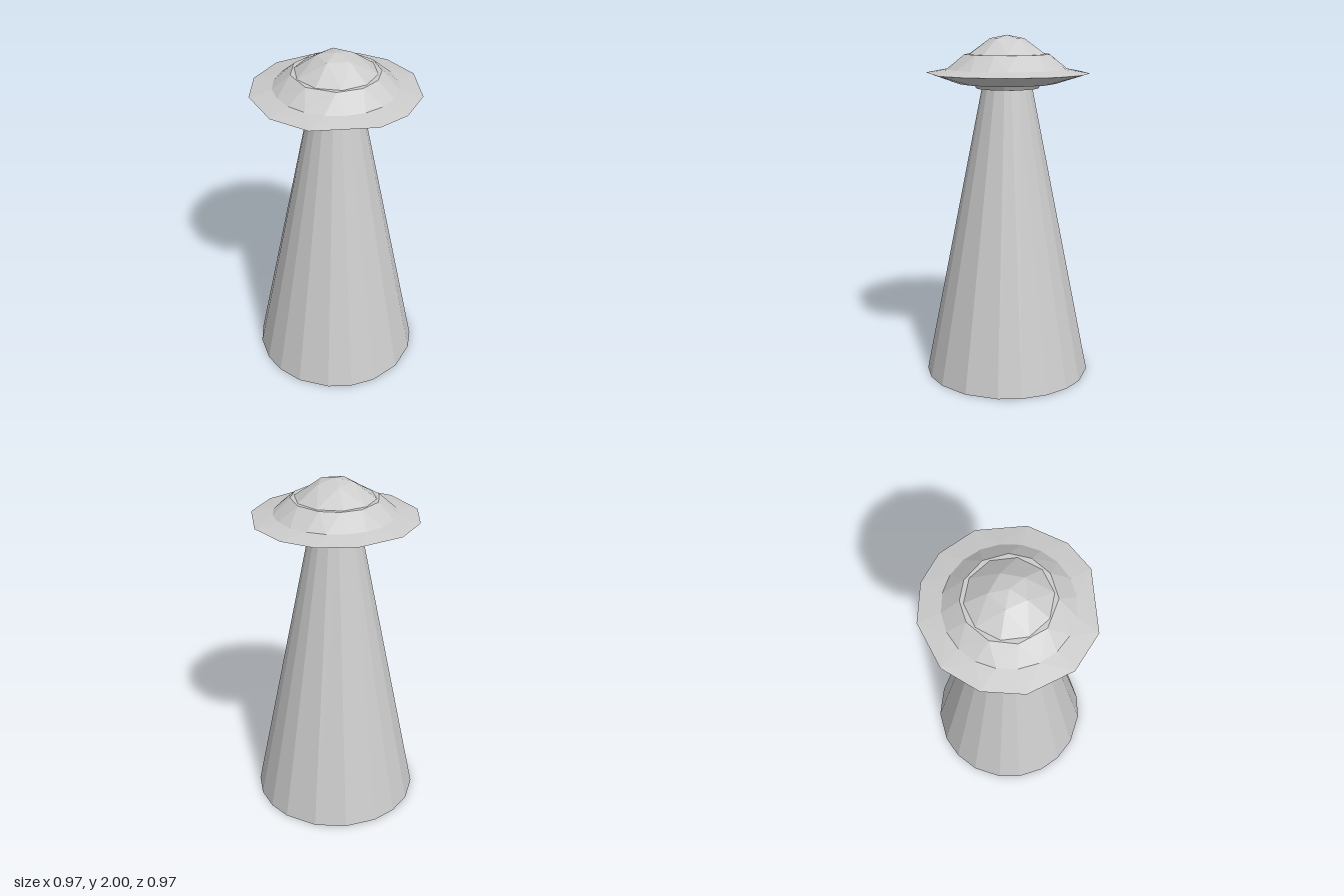
import * as THREE from 'three';

// Evenly spaced angles in degrees, measured from +x towards +z
const even = (n, start = 0) => Array.from({ length: n }, (_, i) => start + (i * 360) / n);

// Skin between rings [radius, height, angles]; neighbouring rings may have different corner counts
function skin(name, rings) {
  const pos = [];
  const point = ([r, y, angles], i) => {
    const a = THREE.MathUtils.degToRad(angles[i % angles.length]);
    return [r * Math.cos(a), y, r * Math.sin(a)];
  };
  const angleAt = (angles, i) => angles[i % angles.length] + 360 * Math.floor(i / angles.length);
  for (let k = 0; k < rings.length - 1; k++) {
    const a = rings[k], b = rings[k + 1];
    const na = a[0] > 0 ? a[2].length : 0;
    const nb = b[0] > 0 ? b[2].length : 0;
    let i = 0, j = 0;
    while (i < na || j < nb) {
      const midA = angleAt(a[2], i) + angleAt(a[2], i + 1);
      const midB = angleAt(b[2], j) + angleAt(b[2], j + 1);
      if (j >= nb || (i < na && midA <= midB)) {
        pos.push(...point(a, i), ...point(b, j), ...point(a, i + 1));
        i++;
      } else {
        pos.push(...point(a, i), ...point(b, j), ...point(b, j + 1));
        j++;
      }
    }
  }
  const geometry = new THREE.BufferGeometry();
  geometry.setAttribute('position', new THREE.Float32BufferAttribute(pos, 3));
  geometry.computeVertexNormals();
  const material = new THREE.MeshStandardMaterial({
    color: 0xcccccc, flatShading: true, side: THREE.DoubleSide,
  });
  const mesh = new THREE.Mesh(geometry, material);
  mesh.name = name;
  return mesh;
}

export function createModel() {
  const model = new THREE.Group();
  model.name = 'flyingSaucerWithBeam';

  // Irregular corner spacing of the beam, the rim and the upper hull edge
  const beamSides = [10, 27, 45, 61, 84, 106, 123, 140, 162, 180, 196, 215, 231, 252, 270, 287, 309, 331, 354];
  const rimSides = [21, 55, 83.5, 106.5, 151, 180, 213, 241, 269, 302.5, 330, 353];
  const shoulderSides = [10, 43, 71, 100, 134, 174, 213, 247, 282, 310, 337];
  const hatchSides = even(10, 18);

  // Light beam, open at the bottom
  model.add(skin('beam', [[0.486, 0, beamSides], [0.146, 1.7, beamSides]]));

  // Emitter under the hull
  model.add(skin('emitter', [
    [0, 1.7, [0]],
    [0.18, 1.7, even(12)],
    [0.2, 1.732, even(12)],
    [0.24, 1.765, even(12)],
  ]));

  // Hull: open underside, sharp rim, shoulder and narrow shelf around the dome
  model.add(skin('hull', [
    [0.28, 1.728, even(12, 8)],
    [0.472, 1.786, rimSides],
    [0.344, 1.81, even(20)],
    [0.246, 1.893, shoulderSides],
    [0.22, 1.893, hatchSides],
  ]));

  // Faceted dome
  model.add(skin('dome', [
    [0.227, 1.893, hatchSides],
    [0.103, 1.98, even(5, 18)],
    [0, 2, [0]],
  ]));

  return model;
}
